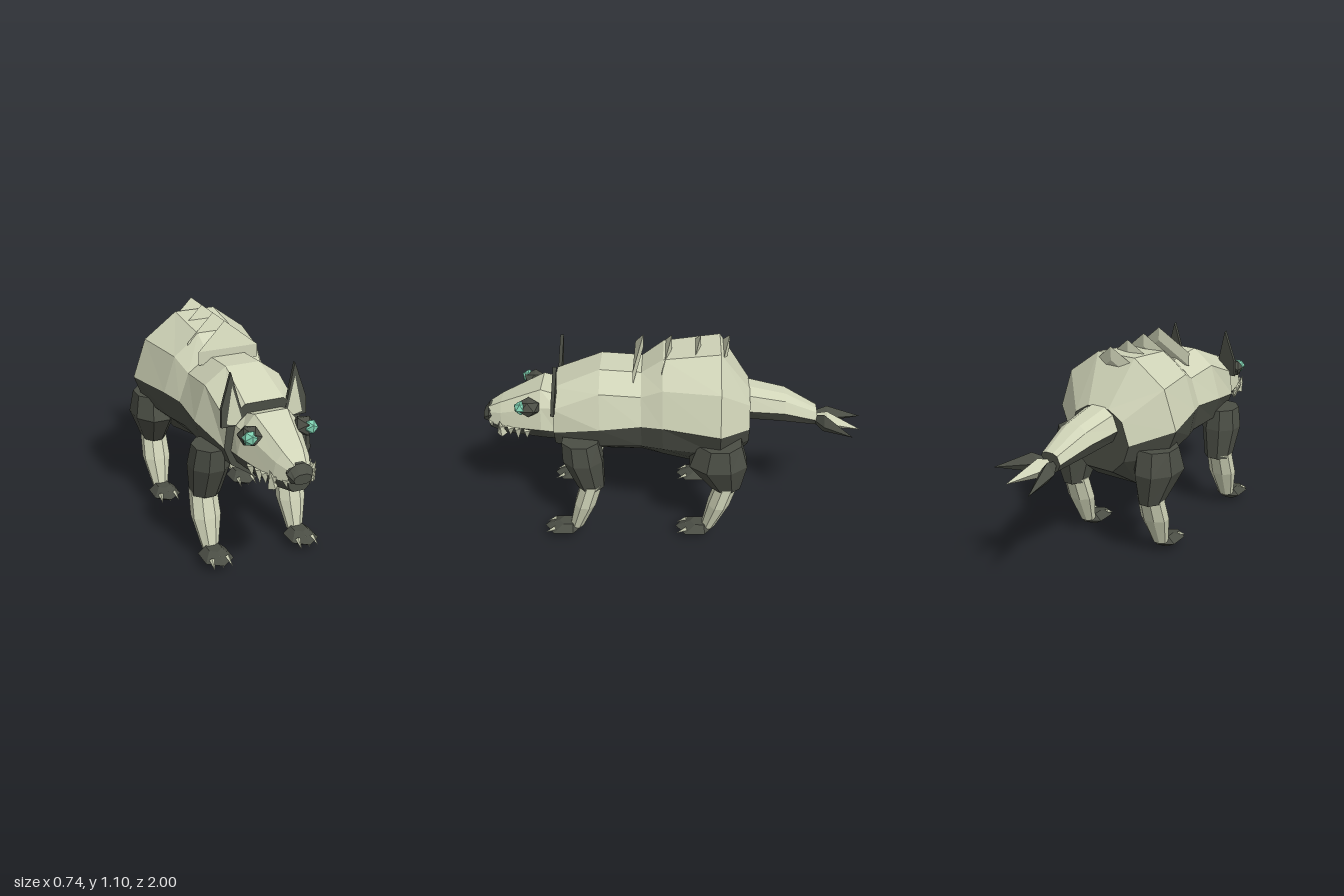
import * as THREE from 'three';

const pale = new THREE.MeshStandardMaterial({ color: 0xd0d4b8 });
pale.name = 'paleHide';
const dark = new THREE.MeshStandardMaterial({ color: 0x4b4e45 });
dark.name = 'darkHide';
const teal = new THREE.MeshStandardMaterial({ color: 0x7fd1b2 });
teal.name = 'tealEye';

const v = (x, y, z) => new THREE.Vector3(x, y, z);

function facetMesh(name, points, material) {
  const g = new THREE.BufferGeometry().setFromPoints(points);
  g.computeVertexNormals();
  const m = new THREE.Mesh(g, material);
  m.name = name;
  return m;
}

// Skin rings of points; isPale(segment) picks the colour, caps use capMat
function loft(name, rings, isPale, capMat) {
  const up = [], low = [];
  const n = rings[0].length;
  for (let j = 0; j + 1 < rings.length; j++) {
    for (let i = 0; i < n; i++) {
      const k = (i + 1) % n;
      const [a, b, c, d] = [rings[j][i], rings[j][k], rings[j + 1][k], rings[j + 1][i]];
      (isPale(i) ? up : low).push(a, b, c, a, c, d);
    }
  }
  const cap = capMat === pale ? up : low;
  const first = rings[0], last = rings[rings.length - 1];
  for (let i = 1; i + 1 < n; i++) {
    cap.push(first[0], first[i + 1], first[i], last[0], last[i], last[i + 1]);
  }
  const group = new THREE.Group();
  group.name = name;
  if (up.length) group.add(facetMesh(name + 'Pale', up, pale));
  if (low.length) group.add(facetMesh(name + 'Dark', low, dark));
  return group;
}

// Full ring from a right-hand half outline running top to bottom
function mirrorRing(z, half, cx = 0) {
  return [...half.map(([x, y]) => v(cx + x, y, z)),
    ...half.slice().reverse().map(([x, y]) => v(cx - x, y, z))];
}
const backIsPale = i => i < 2 || i > 6;

// Horizontal leg ring
function legRing(x, y, z, rx, rz, n = 8) {
  return Array.from({ length: n }, (_, i) => {
    const t = (i + 0.5) / n * Math.PI * 2;
    return v(x + rx * Math.cos(t), y, z + rz * Math.sin(t));
  });
}

// Pointed cone from base to tip
function spike(name, base, tip, radius) {
  const dir = tip.clone().sub(base);
  const g = new THREE.ConeGeometry(radius, dir.length(), 4).toNonIndexed();
  g.computeVertexNormals();
  const m = new THREE.Mesh(g, pale);
  m.name = name;
  m.position.copy(base).add(tip).multiplyScalar(0.5);
  m.quaternion.setFromUnitVectors(v(0, 1, 0), dir.normalize());
  return m;
}

function ball(name, x, y, z, sx, sy, sz, material) {
  const m = new THREE.Mesh(new THREE.IcosahedronGeometry(1, 0), material);
  m.name = name;
  m.position.set(x, y, z);
  m.scale.set(sx, sy, sz);
  return m;
}

export function createModel() {
  const model = new THREE.Group();
  model.name = 'beast';

  // Body
  model.add(loft('body', [
    mirrorRing(0.61, [[0.1, 0.85], [0.19, 0.77], [0.205, 0.64], [0.17, 0.55], [0.07, 0.48]]),
    mirrorRing(0.37, [[0.09, 0.95], [0.2, 0.87], [0.255, 0.69], [0.22, 0.57], [0.1, 0.475]]),
    mirrorRing(0.16, [[0.09, 0.935], [0.2, 0.855], [0.25, 0.71], [0.22, 0.57], [0.1, 0.47]]),
    mirrorRing(0.05, [[0.1, 1.015], [0.23, 0.91], [0.29, 0.725], [0.26, 0.58], [0.12, 0.45]]),
    mirrorRing(-0.24, [[0.11, 1.05], [0.285, 0.92], [0.355, 0.715], [0.3, 0.57], [0.13, 0.38]]),
    mirrorRing(-0.395, [[0.06, 0.82], [0.14, 0.77], [0.18, 0.65], [0.15, 0.56], [0.08, 0.49]]),
  ], backIsPale, dark));

  // Head and nose
  model.add(loft('head', [
    mirrorRing(0.97, [[0.03, 0.685], [0.05, 0.66], [0.06, 0.61], [0.05, 0.575], [0.03, 0.555]]),
    mirrorRing(0.9, [[0.05, 0.725], [0.085, 0.68], [0.1, 0.605], [0.08, 0.56], [0.04, 0.54]]),
    mirrorRing(0.68, [[0.085, 0.825], [0.145, 0.75], [0.17, 0.63], [0.13, 0.56], [0.06, 0.53]]),
    mirrorRing(0.6, [[0.09, 0.8], [0.15, 0.75], [0.17, 0.62], [0.14, 0.56], [0.07, 0.52]]),
  ], backIsPale, dark));
  model.add(loft('nose', [
    mirrorRing(1.0, [[0.02, 0.65], [0.04, 0.64], [0.045, 0.625], [0.038, 0.61], [0.02, 0.602]]),
    mirrorRing(0.97, [[0.02, 0.69], [0.05, 0.67], [0.067, 0.65], [0.05, 0.605], [0.025, 0.595]]),
    mirrorRing(0.925, [[0.015, 0.7], [0.045, 0.68], [0.05, 0.64], [0.04, 0.61], [0.02, 0.6]]),
  ], () => false, dark));

  // Back spikes: leaning triangular plates
  [0.2, 0.055, -0.09, -0.235].forEach((z, i) => {
    const triangle = dy => [v(0.16, 0.975 - dy, z), v(-0.16, 0.975 - dy, z), v(0, 1.103 - dy, z - 0.05)];
    model.add(loft('backSpike' + (i + 1), [triangle(0), triangle(0.07)], () => true, pale));
  });

  // Tail with a tuft of three blades
  model.add(loft('tail', [
    mirrorRing(-0.37, [[0.04, 0.83], [0.09, 0.8], [0.12, 0.72], [0.09, 0.66], [0.04, 0.63]]),
    mirrorRing(-0.58, [[0.035, 0.785], [0.075, 0.76], [0.1, 0.7], [0.075, 0.64], [0.03, 0.615]], 0.01),
    mirrorRing(-0.75, [[0.02, 0.695], [0.045, 0.685], [0.062, 0.645], [0.045, 0.61], [0.02, 0.595]], 0.025),
  ], backIsPale, dark));
  [['tailBladeRight', -0.05, 0.585, -1.0, dark], ['tailBladeMiddle', 0.1, 0.6, -0.98, pale],
    ['tailBladeLeft', 0.225, 0.635, -0.92, dark]].forEach(([name, x, y, z, mat]) => {
    const root = v(0.025 + (x - 0.09) * 0.1, 0.645, -0.71), tip = v(x, y, z);
    const mid = root.clone().lerp(tip, 0.35);
    const ring = [[0.042, 0], [0, -0.05], [-0.042, 0], [0, 0.05]]
      .map(([dx, dy]) => v(mid.x + dx, mid.y + dy, mid.z));
    const pts = [];
    ring.forEach((p, i) => {
      const q = ring[(i + 1) % 4];
      pts.push(root, q, p, tip, p, q);
    });
    model.add(facetMesh(name, pts, mat));
  });

  for (const s of [1, -1]) {
    const side = s > 0 ? 'Left' : 'Right';

    // Eyes
    model.add(ball('eyeSocket' + side, s * 0.138, 0.752, 0.74, 0.058, 0.05, 0.066, dark));
    model.add(ball('eye' + side, s * 0.155, 0.758, 0.777, 0.037, 0.037, 0.037, teal));

    // Ears: dark shell with a pale inner plate, tilted back
    const outline = pts => new THREE.Shape(pts.map(([x, y]) => new THREE.Vector2(s * x, y)));
    const shell = new THREE.Mesh(new THREE.ExtrudeGeometry(
      outline([[0.11, 0.04], [0.165, 0.26], [0.22, 0.09], [0.222, 0], [0.15, 0]]),
      { depth: 0.018, bevelEnabled: false }), dark);
    shell.name = 'earShell' + side;
    const inner = new THREE.Mesh(new THREE.ShapeGeometry(
      outline([[0.12, 0.035], [0.163, 0.195], [0.197, 0.015], [0.15, 0.005]])), pale);
    inner.name = 'innerEar' + side;
    inner.position.z = 0.021;
    const ear = new THREE.Group();
    ear.name = 'ear' + side;
    ear.add(shell, inner);
    ear.position.set(0, 0.75, 0.6);
    ear.rotation.x = -0.1;
    model.add(ear);

    // Teeth and tusk
    [[0.06, 0.955, 0.045], [0.1, 0.9, 0.08], [0.115, 0.85, 0.06], [0.125, 0.81, 0.08], [0.14, 0.76, 0.06]]
      .forEach(([x, z, h], i) => model.add(spike('tooth' + side + (i + 1),
        v(s * x, 0.615, z), v(s * (x - 0.008), 0.615 - h, z + 0.005), 0.023)));
    model.add(spike('tusk' + side, v(s * 0.095, 0.56, 0.9), v(s * 0.118, 0.655, 0.905), 0.027));

    // Legs
    for (const [name, dz] of [['front', 0], ['hind', -0.71]]) {
      const x = s * 0.238, thigh = name === 'hind';
      model.add(loft(name + 'UpperLeg' + side, thigh ? [
        legRing(s * 0.245, 0.62, -0.24, 0.11, 0.12),
        legRing(s * 0.255, 0.5, -0.235, 0.122, 0.16),
        legRing(s * 0.24, 0.33, -0.28, 0.065, 0.08),
      ] : [
        legRing(s * 0.22, 0.61, 0.475, 0.09, 0.1),
        legRing(s * 0.222, 0.5, 0.465, 0.106, 0.11),
        legRing(s * 0.228, 0.33, 0.43, 0.078, 0.074),
      ], () => false, dark));
      model.add(loft(name + 'LowerLeg' + side, [
        legRing(x, 0.35, 0.425 + dz, 0.072, 0.06),
        legRing(x, 0.22, 0.465 + dz, 0.078, 0.06),
        legRing(x, 0.06, 0.52 + dz, 0.042, 0.038),
      ], () => true, pale));

      // Paw and claws
      model.add(loft(name + 'Paw' + side, [
        legRing(x, 0.085, 0.565 + dz, 0.04, 0.05, 6),
        legRing(x, 0.05, 0.59 + dz, 0.085, 0.104, 6),
        legRing(x, 0.003, 0.59 + dz, 0.014, 0.018, 6),
      ], () => false, dark));
      [-0.04, 0, 0.04].forEach((dx, i) => model.add(spike(name + 'Claw' + side + (i + 1),
        v(x + dx, 0.062, 0.635 + dz), v(x + dx * 1.2, 0.035, 0.69 + dz), 0.014)));
    }
  }
  return model;
}
